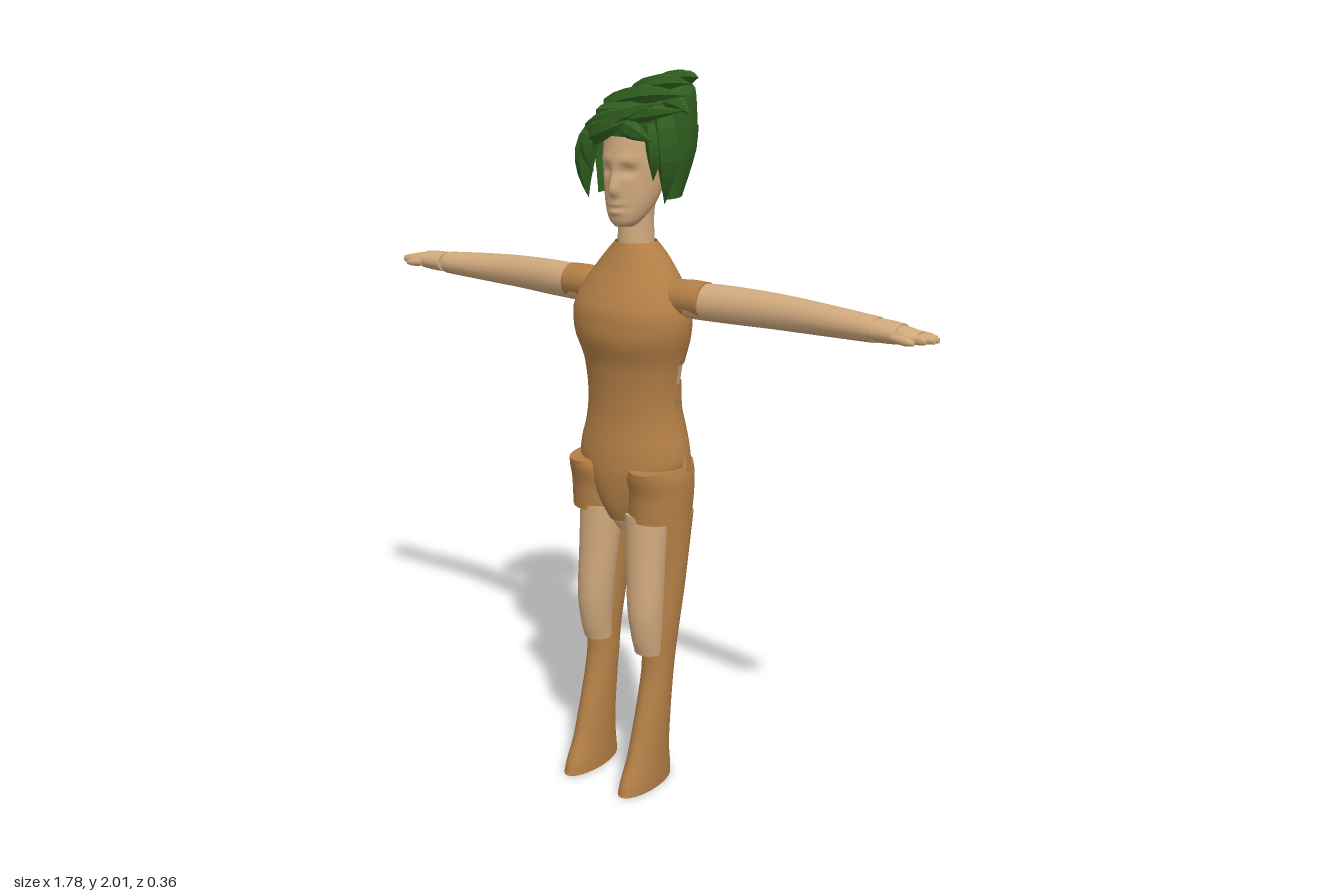
import * as THREE from 'three';
import { mergeVertices } from 'three/addons/utils/BufferGeometryUtils.js';

const PI = Math.PI;

export function createModel() {
  const model = new THREE.Group();
  model.name = 'figure';
  const mat = (name, color) => {
    const m = new THREE.MeshStandardMaterial({ color, side: THREE.DoubleSide });
    m.name = name;
    return m;
  };
  const skin = mat('skin', 0xd0a97d);
  const cloth = mat('brown cloth', 0xb27e45);
  const green = mat('green hair', 0x316020);

  // Skin of smooth rings; a section is [y, centreX, halfWidth, zFront, zBack], bottom to top
  function loft(sections, { from = 0, to = 2 * PI, segs = 24, sub = 4, caps = true } = {}) {
    const a = new THREE.CatmullRomCurve3(sections.map(s => new THREE.Vector3(s[0], s[1], s[2])));
    const b = new THREE.CatmullRomCurve3(sections.map(s => new THREE.Vector3(s[3], s[4], 0)));
    const rows = (sections.length - 1) * sub, pos = [], index = [];
    for (let i = 0; i <= rows; i++) {
      const p = a.getPoint(i / rows), q = b.getPoint(i / rows);
      for (let j = 0; j <= segs; j++) {
        const t = from + (to - from) * j / segs;
        const closedT = t >= 2 * PI - 1e-9 && from === 0 ? 0 : t;
        pos.push(p.y + p.z * Math.sin(closedT), p.x, (q.x + q.y) / 2 + (q.x - q.y) / 2 * Math.cos(closedT));
      }
    }
    const w = segs + 1;
    for (let i = 0; i < rows; i++) for (let j = 0; j < segs; j++) {
      const k = i * w + j;
      index.push(k, k + 1, k + w + 1, k, k + w + 1, k + w);
    }
    let g = new THREE.BufferGeometry();
    g.setAttribute('position', new THREE.Float32BufferAttribute(pos, 3));
    g.setIndex(index);
    g = mergeVertices(g, 1e-5);
    if (caps && from === 0) {
      // end caps have their own corners so that the rims stay sharp
      const p = Array.from(g.attributes.position.array), ix = Array.from(g.index.array);
      for (const r of [0, rows]) {
        const base = p.length / 3;
        for (let j = 0; j < segs; j++) p.push(...pos.slice((r * w + j) * 3, (r * w + j) * 3 + 3));
        for (let j = 1; j < segs - 1; j++) ix.push(base, base + (r ? j : j + 1), base + (r ? j + 1 : j));
      }
      g = new THREE.BufferGeometry();
      g.setAttribute('position', new THREE.Float32BufferAttribute(p, 3));
      g.setIndex(ix);
    }
    g.computeVertexNormals();
    return g;
  }
  function add(name, geometry, material) {
    const m = new THREE.Mesh(geometry, material);
    m.name = name;
    model.add(m);
    return m;
  }

  // Torso: front panel, two back panels and a bare strip at the waist
  const upper = [
    [1.24, 0, 0.152, 0.1, -0.118], [1.32, 0, 0.175, 0.125, -0.13], [1.38, 0, 0.177, 0.123, -0.128],
    [1.45, 0, 0.147, 0.092, -0.115], [1.49, 0, 0.118, 0.07, -0.106],
    [1.53, 0, 0.085, 0.052, -0.093], [1.56, 0, 0.055, 0.04, -0.078]];
  const waist = [[1.17, 0, 0.142, 0.09, -0.11], [1.205, 0, 0.145, 0.094, -0.113], [1.245, 0, 0.152, 0.1, -0.118]];
  const hips = [[1.0, 0, 0.166, 0.1, -0.133], [1.05, 0, 0.153, 0.093, -0.13], [1.11, 0, 0.143, 0.088, -0.116]];
  const frontHem = [[0.79, 0, 0.045, 0.075, -0.02], [0.83, 0, 0.075, 0.092, -0.06],
    [0.89, 0, 0.12, 0.103, -0.1], [0.95, 0, 0.165, 0.105, -0.125]];
  const backHem = [[0.84, 0, 0.176, 0.08, -0.112], [0.92, 0, 0.178, 0.095, -0.128]];
  const front = { from: -PI / 2, to: PI / 2 }, back = { from: PI / 2, to: 1.5 * PI };
  add('shirtFront', loft([...frontHem, ...hips, waist[0], ...upper], front), cloth);
  add('shirtBackUpper', loft(upper, back), cloth);
  add('waistSkin', loft(waist.map(s => [s[0], 0, s[2] - 0.003, s[3] - 0.003, s[4] + 0.003]), back), skin);
  add('shirtBackLower', loft([...backHem, ...hips, [1.185, 0, 0.142, 0.09, -0.111]], back), cloth);
  add('crotch', loft([[0.755, 0, 0.02, 0.05, -0.02], [0.79, 0, 0.045, 0.07, -0.05],
    [0.86, 0, 0.07, 0.08, -0.08]]), skin);

  for (const side of [1, -1]) {
    const label = side > 0 ? 'left' : 'right';
    const leg = s => loft(s.map(([y, x, ...r]) => [y, side * x, ...r]));
    // Legs: brown shorts and trousers, bare front of the thigh
    add(label + 'Hip', leg([[0.805, 0.098, 0.084, 0.095, -0.1], [0.88, 0.099, 0.084, 0.1, -0.11],
      [0.93, 0.1, 0.08, 0.115, -0.115], [0.955, 0.105, 0.067, 0.12, -0.115]]), cloth);
    add(label + 'Trouser', leg([[0, 0.1, 0.045, 0.18, -0.042], [0.03, 0.1, 0.045, 0.17, -0.04],
      [0.09, 0.1, 0.043, 0.138, -0.033], [0.2, 0.1, 0.042, 0.1, -0.035], [0.34, 0.1, 0.044, 0.06, -0.044],
      [0.42, 0.101, 0.047, 0.054, -0.053], [0.6, 0.1, 0.063, 0.036, -0.073],
      [0.82, 0.097, 0.083, 0.035, -0.095]]), cloth);
    add(label + 'ThighFront', leg([[0.405, 0.092, 0.04, 0.08, 0], [0.45, 0.092, 0.043, 0.094, 0],
      [0.54, 0.09, 0.05, 0.106, 0], [0.68, 0.084, 0.057, 0.1, -0.01], [0.82, 0.079, 0.064, 0.094, -0.03]]), skin);

    // Arms: sections run outward along x as [x, height, halfHeight, zFront, zBack]
    const arm = (name, s, m) => add(label + name, loft(
      s.map(([x, v, ...r]) => [x, -side * v, ...r]), { segs: 16 }).rotateZ(-side * PI / 2), m);
    arm('Sleeve', [[0.1, 1.42, 0.045, 0.035, -0.075], [0.17, 1.425, 0.049, 0.032, -0.075],
      [0.228, 1.425, 0.048, 0.027, -0.075]], cloth);
    arm('Arm', [[0.18, 1.42, 0.049, 0.028, -0.072], [0.3, 1.421, 0.05, 0.014, -0.078],
      [0.45, 1.42, 0.046, 0, -0.084], [0.56, 1.419, 0.041, 0.003, -0.08],
      [side > 0 ? 0.73 : 0.705, 1.418, 0.032, 0.013, -0.066]], skin);
    arm('Wrist', [[0.717, 1.418, 0.029, 0.014, -0.066], [0.76, 1.418, 0.028, 0.016, -0.066],
      [0.795, 1.418, 0.025, 0.016, -0.064]], skin);
    arm('Palm', [[0.785, 1.418, 0.022, 0.01, -0.055], [0.815, 1.417, 0.02, 0.013, -0.056],
      [0.845, 1.416, 0.015, 0.01, -0.053]], skin);
    [0.87, 0.885, 0.888, 0.875].forEach((tip, i) => {
      const z = 0.007 - i * 0.0155;
      arm('Finger' + (i + 1), [[0.825, 1.416, 0.012, z, z - 0.0165], [0.86, 1.415, 0.011, z, z - 0.0155],
        [tip, 1.414, 0.007, z - 0.002, z - 0.013]], skin);
    });
    arm('Thumb', [[0.785, 1.414, 0.011, 0.018, -0.004], [0.825, 1.41, 0.011, 0.021, 0],
      [0.845, 1.408, 0.006, 0.018, 0.006]], skin);
  }

  // Neck and head, the face shaped by soft bumps
  add('neck', loft([[1.54, 0, 0.049, 0.034, -0.072], [1.62, 0, 0.046, 0.032, -0.07],
    [1.7, 0, 0.05, 0.03, -0.085]]), skin);
  const head = loft([[1.605, 0, 0.026, 0.058, 0], [1.62, 0, 0.043, 0.067, -0.015], [1.66, 0, 0.065, 0.071, -0.06],
    [1.72, 0, 0.079, 0.072, -0.1], [1.78, 0, 0.086, 0.074, -0.125], [1.86, 0, 0.084, 0.062, -0.13],
    [1.92, 0, 0.05, 0.01, -0.09]], { segs: 64, sub: 7 });
  const bump = (d, s) => Math.exp(-(d * d) / (s * s));
  const hp = head.attributes.position;
  for (let i = 0; i < hp.count; i++) {
    const x = hp.getX(i), y = hp.getY(i), z = hp.getZ(i);
    if (z < 0.02) continue;
    const ax = Math.abs(x);
    const dz = 0.024 * bump(x, 0.012) * bump(y - 1.7, y > 1.7 ? 0.04 : 0.013)
      - 0.014 * bump(ax - 0.034, 0.02) * bump(y - 1.752, 0.014)
      + 0.006 * bump(ax - 0.034, 0.025) * bump(y - 1.782, 0.01)
      + 0.007 * bump(x, 0.025) * (bump(y - 1.664, 0.007) + bump(y - 1.646, 0.007))
      - 0.006 * bump(x, 0.03) * bump(y - 1.655, 0.004);
    hp.setZ(i, z + dz);
  }
  head.computeVertexNormals();
  add('head', head, skin);

  // Hair: open-fronted lower curtain and a leaning crown
  add('hairCurtain', loft([[1.68, 0.005, 0.118, 0.08, -0.13], [1.73, 0.003, 0.128, 0.08, -0.155],
    [1.8, 0.005, 0.143, 0.08, -0.173], [1.86, 0.015, 0.138, 0.08, -0.174]],
  { from: 0.4 * PI, to: 1.6 * PI, segs: 18, sub: 2 }), green);
  add('hairCrown', loft([[1.84, 0.012, 0.137, 0.078, -0.175], [1.88, 0.027, 0.122, 0.084, -0.17],
    [1.92, 0.045, 0.105, 0.08, -0.158], [1.955, 0.068, 0.075, 0.055, -0.142],
    [1.975, 0.085, 0.038, 0.02, -0.115]], { segs: 18, sub: 2 }), green);

  // Locks: flattened faceted strands tapering along a bent path
  function lock(name, pts, width, thick) {
    const curve = new THREE.QuadraticBezierCurve3(...pts.map(p => new THREE.Vector3(...p)));
    const g = new THREE.TubeGeometry(curve, 6, 1, 6, false);
    const p = g.attributes.position, v = new THREE.Vector3();
    for (let i = 0; i < p.count; i++) {
      const t = Math.floor(i / 7) / 6, c = curve.getPointAt(t);
      const r = Math.max(0.02, Math.sin(PI * (0.3 + 0.7 * t)));
      v.fromBufferAttribute(p, i).sub(c);
      p.setXYZ(i, c.x + v.x * width * r, c.y + v.y * width * r, c.z + v.z * thick * r);
    }
    const flat = g.toNonIndexed();
    flat.computeVertexNormals();
    add(name, flat, green);
  }
  const locks = [
    // swept fringe
    [[-0.11, 1.83, 0.04], [-0.03, 1.86, 0.1], [0.08, 1.89, 0.09], 0.032, 0.018],
    [[-0.1, 1.85, 0.04], [0, 1.88, 0.1], [0.14, 1.93, 0.085], 0.034, 0.02],
    [[-0.06, 1.89, 0.05], [0.06, 1.9, 0.1], [0.215, 1.915, 0.07], 0.03, 0.02],
    [[-0.05, 1.91, 0.03], [0.08, 1.96, 0.07], [0.22, 1.95, 0.06], 0.03, 0.025],
    [[0.02, 1.87, 0.07], [0.07, 1.87, 0.1], [0.12, 1.83, 0.07], 0.028, 0.018],
    // crown spikes
    [[0, 1.93, -0.01], [0.09, 1.99, 0.02], [0.2, 1.975, 0.015], 0.03, 0.025],
    [[0.03, 1.94, -0.05], [0.11, 2.0, -0.04], [0.19, 1.99, -0.02], 0.028, 0.03],
    [[0.04, 1.94, -0.1], [0.09, 1.99, -0.1], [0.16, 1.985, -0.07], 0.028, 0.03],
    [[0.08, 1.92, 0.0], [0.15, 1.95, 0.02], [0.2, 1.9, 0.02], 0.03, 0.025],
    // side locks framing the face
    [[-0.1, 1.85, 0.03], [-0.14, 1.79, 0.05], [-0.118, 1.67, 0.035], 0.03, 0.028],
    [[-0.08, 1.85, 0.06], [-0.11, 1.82, 0.075], [-0.09, 1.74, 0.05], 0.024, 0.018],
    [[0.12, 1.9, 0.03], [0.155, 1.8, 0.04], [0.115, 1.67, 0.01], 0.03, 0.03],
    [[0.1, 1.87, 0.05], [0.125, 1.82, 0.065], [0.1, 1.73, 0.04], 0.022, 0.018],
  ];
  locks.forEach(([a, b, c, w, t], i) => lock('hairLock' + (i + 1), [a, b, c], w, t));
  return model;
}
